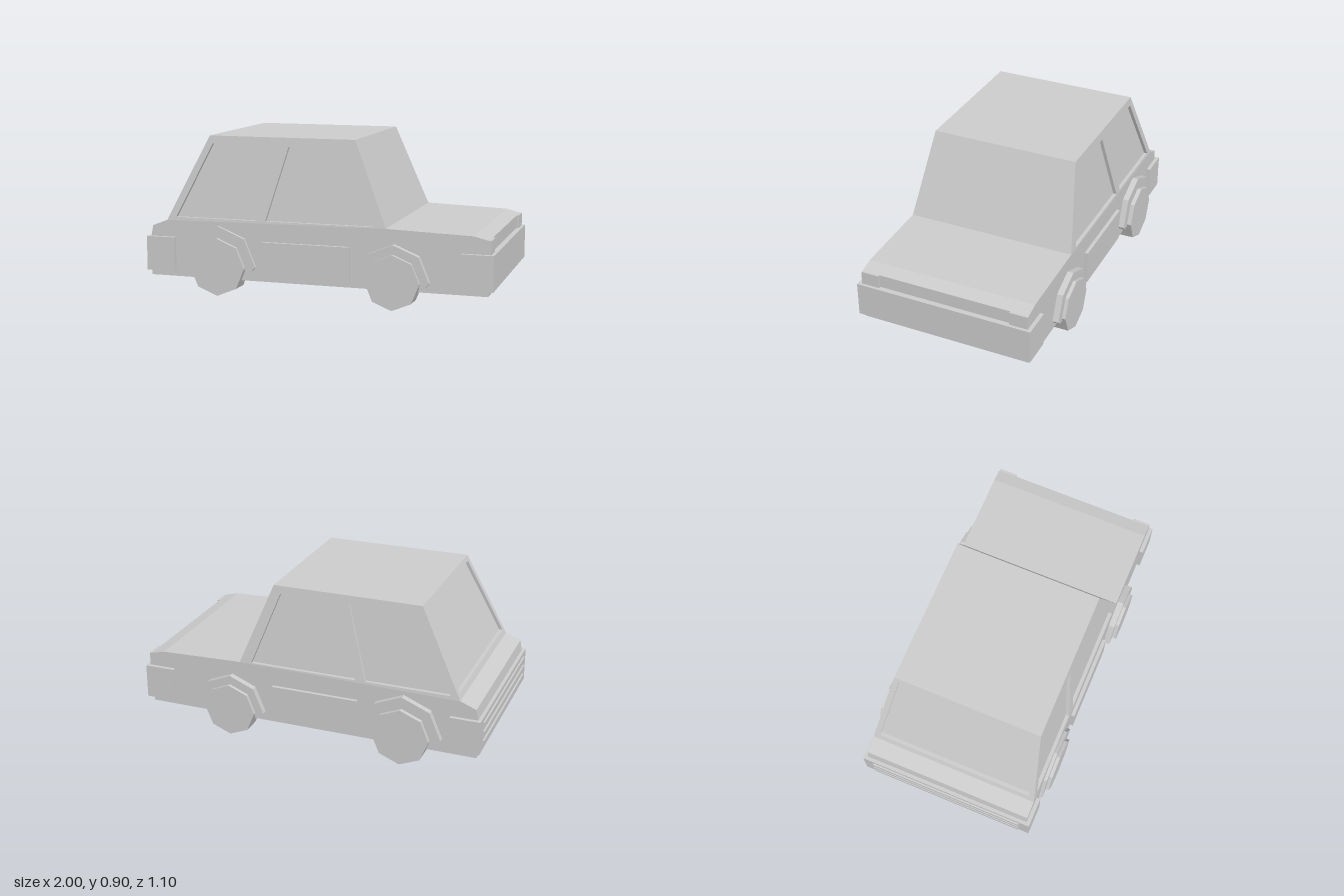
import * as THREE from 'three';

const material = new THREE.MeshStandardMaterial({ color: 0xcccccc, flatShading: true });
const INSET = 0.02; // depth of the window recesses

// Half width of the cabin and x of its rear slope at height y
const halfWidth = (y) => 0.49 - 0.065 * (y - 0.43) / 0.47;
const rearX = (y) => -0.87 + 0.5 * (y - 0.42);

const toPoints = (list) => list.map(([x, y]) => new THREE.Vector2(x, y));

function extrude(outline, depth, holes = []) {
  const shape = new THREE.Shape(toPoints(outline));
  for (const hole of holes) shape.holes.push(new THREE.Path(toPoints(hole)));
  return new THREE.ExtrudeGeometry(shape, { depth, bevelEnabled: false });
}

// Moves every vertex by a rule (x, y, z) => [x, y, z]
function reshape(geometry, rule) {
  const p = geometry.attributes.position;
  for (let i = 0; i < p.count; i++) p.setXYZ(i, ...rule(p.getX(i), p.getY(i), p.getZ(i)));
  geometry.computeVertexNormals();
  return geometry;
}

export function createModel() {
  const car = new THREE.Group();
  car.name = 'car';

  function add(name, geometry) {
    const mesh = new THREE.Mesh(geometry, material);
    mesh.name = name;
    car.add(mesh);
    return mesh;
  }

  // Box given by its limits on each axis
  function addBox(name, x0, x1, y0, y1, z0, z1) {
    add(name, new THREE.BoxGeometry(x1 - x0, y1 - y0, z1 - z0))
      .position.set((x0 + x1) / 2, (y0 + y1) / 2, (z0 + z1) / 2);
  }

  // Lower body: side profile extruded across the width
  const lower = extrude([
    [-0.97, 0.1], [0.97, 0.1], [0.97, 0.4], [0.89, 0.42], [0.41, 0.435],
    [-0.87, 0.42], [-0.96, 0.385], [-0.97, 0.33],
  ], 0.98);
  lower.translate(0, 0, -0.49);
  add('lowerBody', lower);

  // Cabin core: windscreen, roof and the recessed glass surfaces
  const core = extrude([
    [-0.87 + INSET, 0.42], [0.41, 0.435], [0.22, 0.9], [-0.63 + INSET, 0.9],
  ], 2);
  core.translate(0, 0, -1);
  add('cabinCore', reshape(core, (x, y, z) => [x, y, z * (halfWidth(y) - INSET)]));

  // Slanted side frames with two window openings each
  const cabinOutline = [[-0.87, 0.42], [0.41, 0.435], [0.22, 0.9], [-0.63, 0.9]];
  const rearWindow = [[-0.815, 0.44], [-0.335, 0.44], [-0.22, 0.85], [-0.61, 0.855]];
  const frontWindow = [[-0.28, 0.44], [0.34, 0.44], [0.18, 0.855], [-0.16, 0.85]];
  for (const side of [1, -1]) {
    const frame = extrude(cabinOutline, INSET, [rearWindow, frontWindow]);
    add(side > 0 ? 'leftWindowFrame' : 'rightWindowFrame', reshape(frame, (x, y, z) =>
      [x, y, side > 0 ? halfWidth(y) - INSET + z : z - halfWidth(y)]));
  }

  // Rear window frame, laid on the rear slope
  const b = halfWidth(0.42) - INSET;
  const t = halfWidth(0.9) - INSET;
  const rearFrame = extrude([[-b, 0.42], [b, 0.42], [t, 0.9], [-t, 0.9]], INSET,
    [[[-0.455, 0.45], [0.455, 0.45], [0.395, 0.875], [-0.395, 0.875]]]);
  add('rearWindowFrame', reshape(rearFrame, (x, y, z) => [rearX(y) + z, y, -x]));

  // Bumpers, wrapped around the corners
  addBox('frontBumper', 0.825, 1, 0.13, 0.325, -0.512, 0.512);
  addBox('rearBumper', -0.99, -0.82, 0.13, 0.325, -0.512, 0.512);
  for (const y of [0.16, 0.215, 0.27]) addBox('rearSlat', -1, -0.98, y, y + 0.03, -0.45, 0.45);

  for (const side of [1, -1]) {
    // Headlights and door panels
    const span = (inner, outer) => (side > 0 ? [inner, outer] : [-outer, -inner]);
    addBox('headlight', 0.94, 0.983, 0.32, 0.4, ...span(0.385, 0.49));
    addBox('doorPanel', -0.295, 0.21, 0.13, 0.325, ...span(0.48, 0.51));

    // Octagonal wheels under half-octagon arches
    const axles = [
      { name: 'rear', x: -0.557, y: 0.172, r: 0.163, inner: 0.42, outer: side > 0 ? 0.527 : 0.55,
        archY: 0.18, archR: 0.222, archZ: side > 0 ? 0.508 : 0.525 },
      { name: 'front', x: 0.458, y: 0.152, r: 0.152, inner: 0.435, outer: 0.545,
        archY: 0.155, archR: 0.2, archZ: 0.525 },
    ];
    for (const a of axles) {
      const wheel = new THREE.CylinderGeometry(a.r, a.r, a.outer - a.inner, 8);
      wheel.rotateX(Math.PI / 2);
      add(a.name + 'Wheel', wheel).position.set(a.x, a.y, side * (a.outer + a.inner) / 2);

      const arc = (r) => [0, 1, 2, 3, 4].map((i) => {
        const angle = i * Math.PI / 4;
        return [r * Math.cos(angle), r * Math.sin(angle)];
      });
      const R = a.archR;
      const ri = a.r - 0.02;
      const outline = [[R - 0.02, -0.022], ...arc(R), [0.02 - R, -0.022],
        [-ri, -0.022], ...arc(ri).reverse(), [ri, -0.022]];
      const depth = a.archZ - 0.47;
      add(a.name + 'WheelArch', extrude(outline, depth))
        .position.set(a.x, a.archY, side > 0 ? 0.47 : -a.archZ);
    }
  }
  return car;
}
